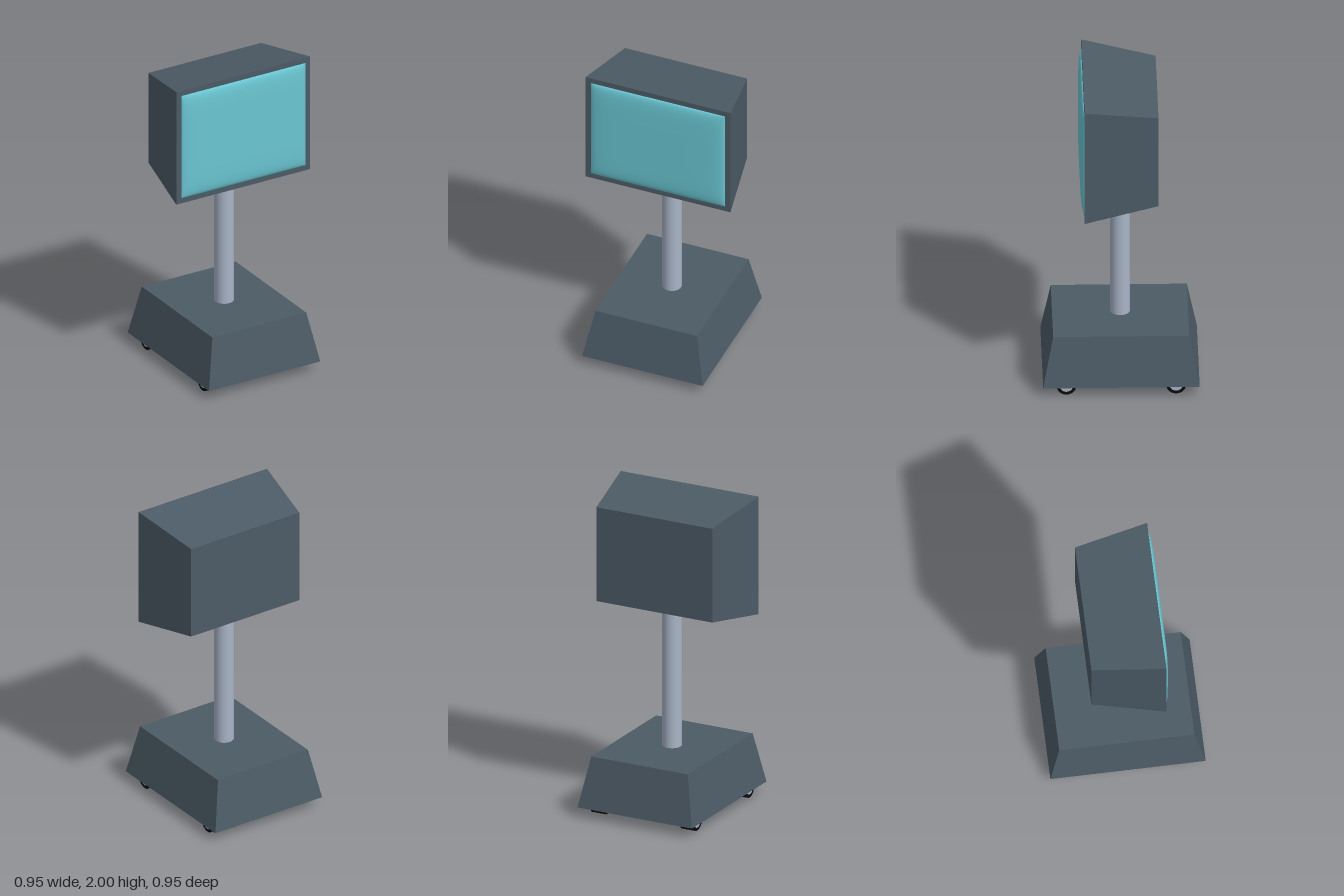
import * as THREE from 'three';

const material = (name, color, side = THREE.FrontSide) => {
  const m = new THREE.MeshStandardMaterial({ color, side });
  m.name = name;
  return m;
};

// Box whose cross-section shrinks along one axis by a rule
function taperedBox(w, h, d, scaleAt) {
  const geo = new THREE.BoxGeometry(w, h, d);
  const p = geo.attributes.position;
  const v = new THREE.Vector3();
  for (let i = 0; i < p.count; i++) {
    v.fromBufferAttribute(p, i);
    scaleAt(v);
    p.setXYZ(i, v.x, v.y, v.z);
  }
  geo.computeVertexNormals();
  return geo;
}

// Rectangular sheet that bulges forward with softly rounded edges
function pillow(w, h, depth) {
  const geo = new THREE.PlaneGeometry(2, 2, 32, 32);
  const p = geo.attributes.position;
  const bulge = (u) => Math.sqrt(Math.max(0, 1 - Math.abs(u) ** 8));
  for (let i = 0; i < p.count; i++) {
    const u = Math.sin(p.getX(i) * Math.PI / 2);
    const v = Math.sin(p.getY(i) * Math.PI / 2);
    p.setXYZ(i, u * w / 2, v * h / 2, depth * bulge(u) * bulge(v));
  }
  geo.computeVertexNormals();
  return geo;
}

export function createModel() {
  const model = new THREE.Group();
  model.name = 'displayStand';
  const casing = material('slate casing', 0x4c5b66);
  const glass = material('teal glass', 0x6ac6d2, THREE.DoubleSide);
  const metal = material('pale metal', 0xa9b4c6);
  const rubber = material('black rubber', 0x0a0a0a);

  const add = (name, geo, mat, x, y, z, parent = model) => {
    const mesh = new THREE.Mesh(geo, mat);
    mesh.name = name;
    mesh.position.set(x, y, z);
    parent.add(mesh);
    return mesh;
  };

  // Base, narrower at the top by the same amount on each side
  add('base', taperedBox(0.79, 0.32, 0.95, (v) => {
    if (v.y > 0) {
      v.x -= Math.sign(v.x) * 0.062;
      v.z -= Math.sign(v.z) * 0.062;
    }
  }), casing, 0, 0.225, 0);

  // Pole
  add('pole', new THREE.CylinderGeometry(0.06, 0.06, 0.96, 32), metal, 0, 0.84, 0);

  // Monitor housing, narrower at the back
  add('monitorHousing', taperedBox(0.95, 0.76, 0.45, (v) => {
    if (v.z < 0) {
      v.x -= Math.sign(v.x) * 0.075;
      v.y -= Math.sign(v.y) * 0.077;
    }
  }), casing, 0, 1.62, 0);

  // Bulging screen
  add('screen', pillow(0.88, 0.69, 0.022), glass, 0, 1.62, 0.226);

  // Four wheels, each with a hub disc on its outer face
  const tyre = new THREE.CylinderGeometry(0.06, 0.06, 0.09, 24).rotateZ(Math.PI / 2);
  const hub = new THREE.CylinderGeometry(0.04, 0.04, 0.004, 24).rotateZ(Math.PI / 2);
  for (const sx of [-1, 1]) {
    for (const sz of [-1, 1]) {
      const wheel = new THREE.Group();
      wheel.name = `${sz > 0 ? 'front' : 'back'}${sx > 0 ? 'Left' : 'Right'}Wheel`;
      wheel.position.set(sx * 0.31, 0.06, sz * 0.333);
      add('tyre', tyre, rubber, 0, 0, 0, wheel);
      add('hub', hub, metal, sx * 0.045, 0, 0, wheel);
      model.add(wheel);
    }
  }
  return model;
}
